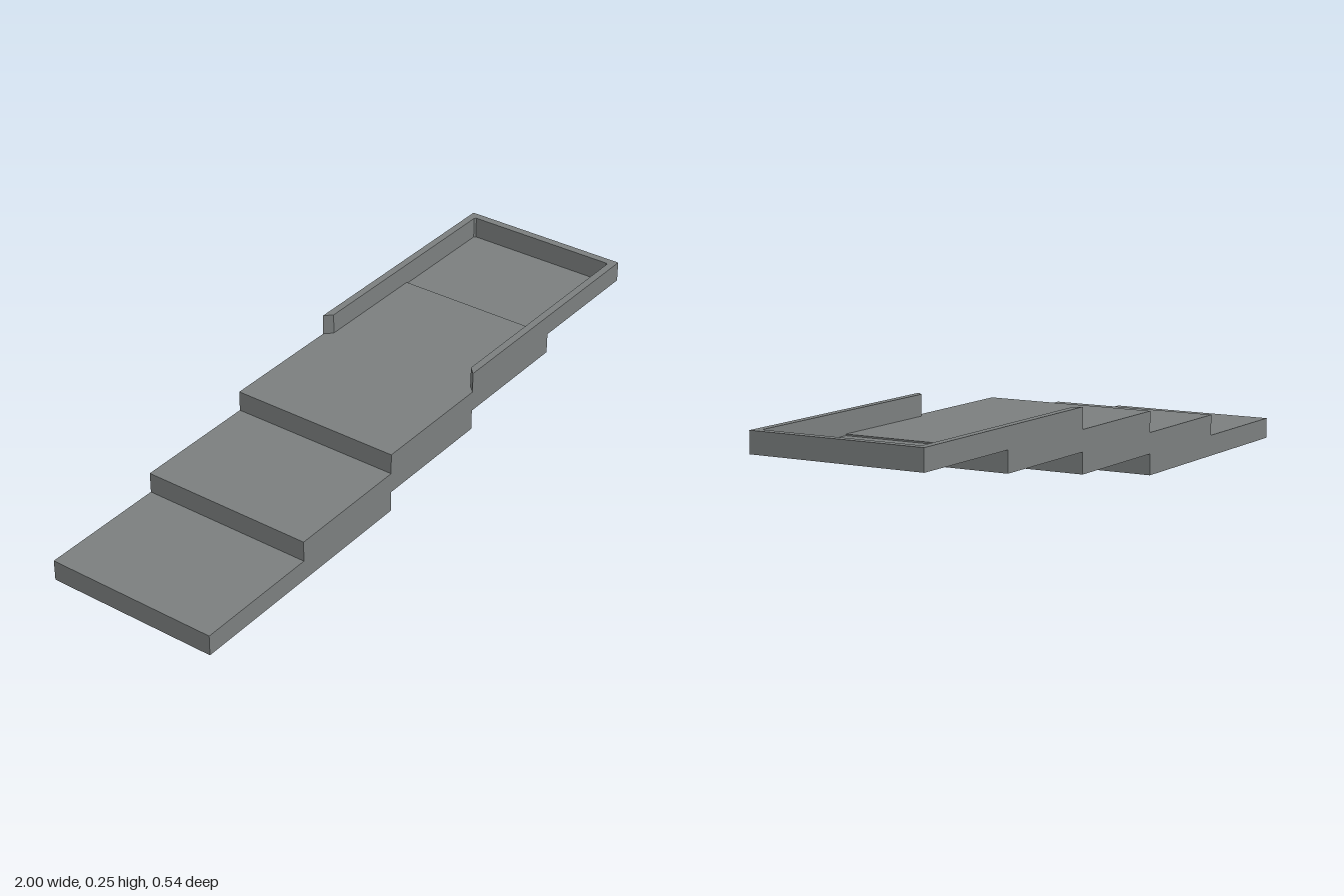
import * as THREE from 'three';

const HALF = 0.271;   // half width of every slab
const STEP = 0.0635;  // height of one step
const FLOOR = 0.186;  // height of the sunken tray floor

export function createModel() {
  const model = new THREE.Group();
  const solid = new THREE.MeshStandardMaterial({ color: 0x7b7f7f, flatShading: true });
  const sheet = solid.clone();
  sheet.side = THREE.DoubleSide;

  const add = (name, geometry, material, x, y) => {
    const mesh = new THREE.Mesh(geometry, material);
    mesh.name = name;
    mesh.position.set(x, y, 0);
    model.add(mesh);
  };

  // Flat horizontal sheet from an outline in x and z
  const plate = (name, points, y) => {
    const shape = new THREE.Shape(points.map(([x, z]) => new THREE.Vector2(x, -z)));
    add(name, new THREE.ShapeGeometry(shape).rotateX(-Math.PI / 2), sheet, 0, y);
  };

  // Upright sheet following a path in x and z
  const wall = (name, path, bottom, top) => {
    const positions = [];
    for (let i = 0; i < path.length - 1; i++) {
      const [ax, az] = path[i];
      const [bx, bz] = path[i + 1];
      positions.push(ax, bottom, az, bx, bottom, bz, bx, top, bz);
      positions.push(ax, bottom, az, bx, top, bz, ax, top, az);
    }
    const geometry = new THREE.BufferGeometry();
    geometry.setAttribute('position', new THREE.Float32BufferAttribute(positions, 3));
    geometry.computeVertexNormals();
    add(name, geometry, sheet, 0, 0);
  };

  // Three overlapping slabs, each shifted by half its length
  ['lowerSlab', 'middleSlab', 'upperSlab'].forEach((name, i) => {
    add(name, new THREE.BoxGeometry(0.8, STEP, HALF * 2), solid, -0.6 + 0.4 * i, STEP * (i + 0.5));
  });

  // Tray rim: hollow underneath, open toward the steps, with mitred ends
  const outer = [[0.2, HALF], [1, HALF], [1, -HALF], [0.2, -HALF]];
  const side = [[0.223, -0.248], [0.97, -0.248], [0.975, -0.243]];
  const inner = [...side, ...side.map(([x, z]) => [x, -z]).reverse()];
  wall('trayOuterWall', outer, STEP * 3, STEP * 4);
  wall('trayInnerWall', [outer[3], ...inner, outer[0]], FLOOR, STEP * 4);
  plate('trayRimTop', [...outer, ...inner], STEP * 4);

  // Sunken floor in the overhanging half of the tray
  plate('trayFloor', [[0.6, -0.248], ...inner.slice(1, -1), [0.6, 0.248]], FLOOR);

  return model;
}
